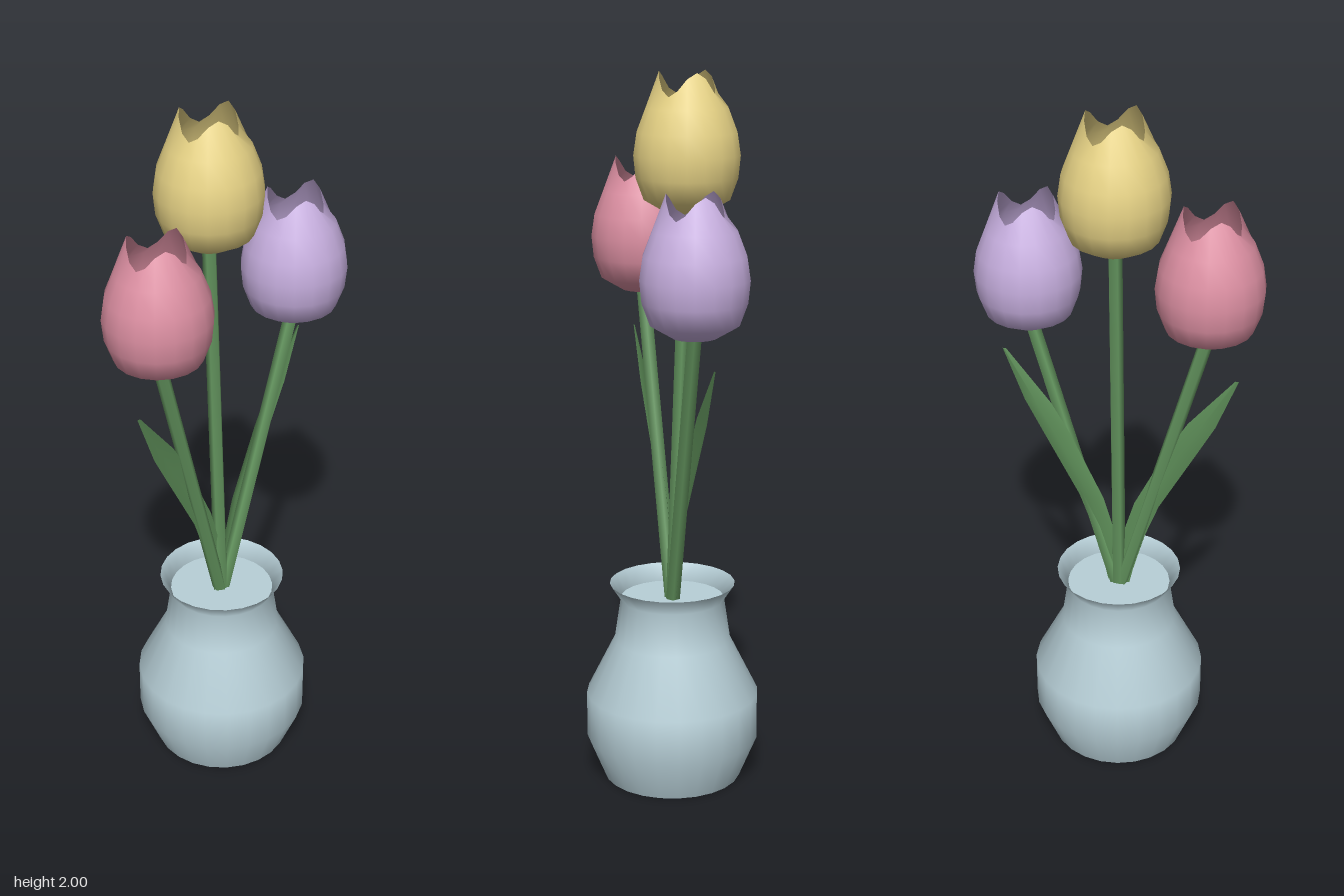
import * as THREE from 'three';

const CX = -0.008; // axis of the vase

const material = (color) => new THREE.MeshStandardMaterial({ color, side: THREE.DoubleSide });
const vaseMat = material(0xb8d0d8);
const stemMat = material(0x64965f);
const leafMat = material(0x5c8c57);

function add(parent, name, geometry, mat) {
  const mesh = new THREE.Mesh(geometry, mat);
  mesh.name = name;
  parent.add(mesh);
  return mesh;
}

const profile = (pairs) => pairs.map(([r, y]) => new THREE.Vector2(r, y));

// Vase: flared body, flat base and a closing disc just below the lip
function makeVase() {
  const vase = new THREE.Group();
  vase.name = 'vase';
  const body = profile([[0.195, 0], [0.245, 0.12], [0.245, 0.25], [0.165, 0.41], [0.147, 0.53], [0.177, 0.576]]);
  add(vase, 'vaseBody', new THREE.LatheGeometry(body, 24), vaseMat);
  add(vase, 'vaseBase', new THREE.CircleGeometry(0.195, 24).rotateX(Math.PI / 2), vaseMat);
  add(vase, 'vaseFill', new THREE.CircleGeometry(0.147, 24).rotateX(-Math.PI / 2), vaseMat).position.y = 0.53;
  vase.position.x = CX;
  return vase;
}

// Flower head: open cup whose rim rises into three petal tips, one towards +x
function headGeometry() {
  const cup = profile([[0, 0], [0.06, 0.006], [0.118, 0.04], [0.14, 0.1], [0.146, 0.16],
    [0.137, 0.22], [0.112, 0.285], [0.076, 0.348]]);
  const geo = new THREE.LatheGeometry(cup, 18).rotateY(Math.PI / 2);
  const pos = geo.attributes.position;
  for (let i = 0; i < pos.count; i++) {
    if (pos.getY(i) < 0.34) continue;
    const angle = Math.atan2(pos.getZ(i), pos.getX(i));
    pos.setY(i, 0.348 + 0.032 * Math.cos(3 * angle));
  }
  return geo;
}

// Straight five-sided stem between two points
function makeStem(parent, from, to) {
  const dir = to.clone().sub(from);
  const stem = add(parent, 'stem', new THREE.CylinderGeometry(0.02, 0.02, dir.length(), 5), stemMat);
  stem.position.copy(from).addScaledVector(dir, 0.5);
  stem.quaternion.setFromUnitVectors(new THREE.Vector3(0, 1, 0), dir.normalize());
}

// Leaf: lightly folded blade, rows of [y, outer x, inner x]
function leafGeometry(side) {
  const rows = [[1.255, 0.332, 0.322], [1.1, 0.272, 0.195], [1.01, 0.224, 0.142],
    [0.81, 0.116, 0.045], [0.7, 0.075, 0.012], [0.577, 0.042, -0.012], [0.5, 0.025, -0.02]];
  const geo = new THREE.PlaneGeometry(1, 1, 2, rows.length - 1);
  const pos = geo.attributes.position;
  rows.forEach(([y, outer, inner], r) => {
    for (let c = 0; c < 3; c++) {
      const t = side > 0 ? c / 2 : 1 - c / 2;
      const x = inner + (outer - inner) * t;
      const fold = c === 1 ? -0.15 * (outer - inner) : 0;
      pos.setXYZ(r * 3 + c, CX + side * x, y, fold);
    }
  });
  geo.computeVertexNormals();
  return geo;
}

export function createModel() {
  const model = new THREE.Group();
  model.name = 'vaseOfFlowers';
  model.add(makeVase());

  // Flowers: head colour, head base position
  const flowers = [
    ['middleFlower', 0xe6d285, -0.008, 1.62, -0.042],
    ['rightFlower', 0xdc8fa2, -0.255, 1.37, 0],
    ['leftFlower', 0xc6aede, 0.255, 1.33, 0.032],
  ];
  const head = headGeometry();
  for (const [name, color, x, y, z] of flowers) {
    const flower = new THREE.Group();
    flower.name = name;
    add(flower, 'flowerHead', head, material(color)).position.set(x, y, z);
    makeStem(flower, new THREE.Vector3(CX, 0.5, 0), new THREE.Vector3(x, y + 0.02, z));
    model.add(flower);
  }

  add(model, 'leftLeaf', leafGeometry(1), leafMat);
  add(model, 'rightLeaf', leafGeometry(-1), leafMat);
  return model;
}
